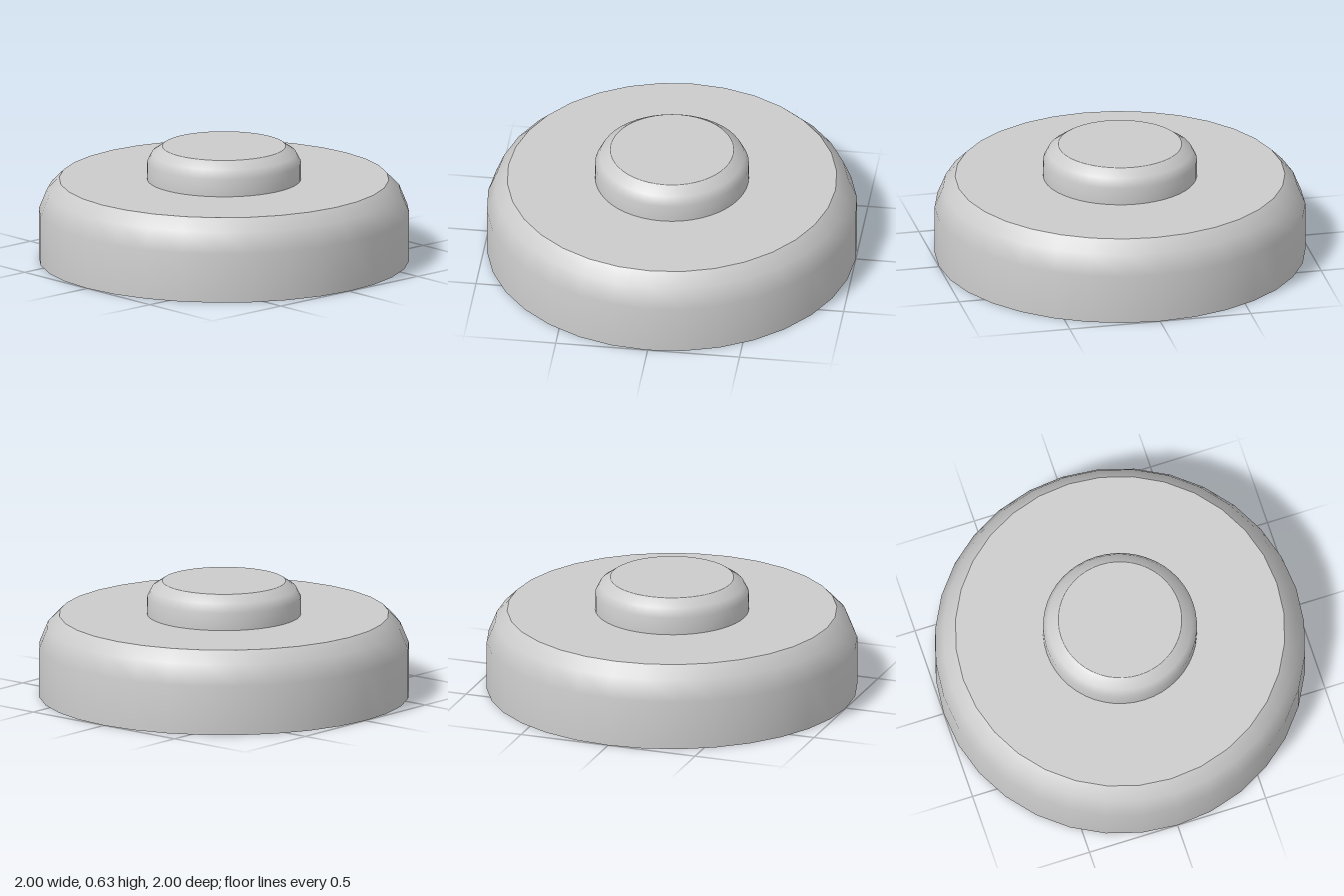
import * as THREE from 'three';
import { mergeGeometries } from 'three/addons/utils/BufferGeometryUtils.js';

// Smooth turned wall closed by flat, sharp-edged caps
function turnedDisc(name, profile, segments, material) {
  const points = profile.map(([r, y]) => new THREE.Vector2(r, y));
  const [bottomRadius, bottomY] = profile[0];
  const [topRadius, topY] = profile[profile.length - 1];
  const wall = new THREE.LatheGeometry(points, segments);
  const top = new THREE.CircleGeometry(topRadius, segments).rotateX(-Math.PI / 2).translate(0, topY, 0);
  const bottom = new THREE.CircleGeometry(bottomRadius, segments).rotateX(Math.PI / 2).translate(0, bottomY, 0);
  const mesh = new THREE.Mesh(mergeGeometries([wall, top, bottom]), material);
  mesh.name = name;
  return mesh;
}

export function createModel() {
  const group = new THREE.Group();
  group.name = 'pushButton';
  const grey = new THREE.MeshStandardMaterial({ color: 0xcccccc });

  // Wide base with a rounded upper shoulder
  group.add(turnedDisc('base', [[1, 0], [1, 0.27], [0.955, 0.38], [0.89, 0.445]], 32, grey));

  // Small raised button in the middle
  group.add(turnedDisc('button', [[0.415, 0.445], [0.415, 0.54], [0.39, 0.588], [0.333, 0.627]], 48, grey));

  return group;
}
